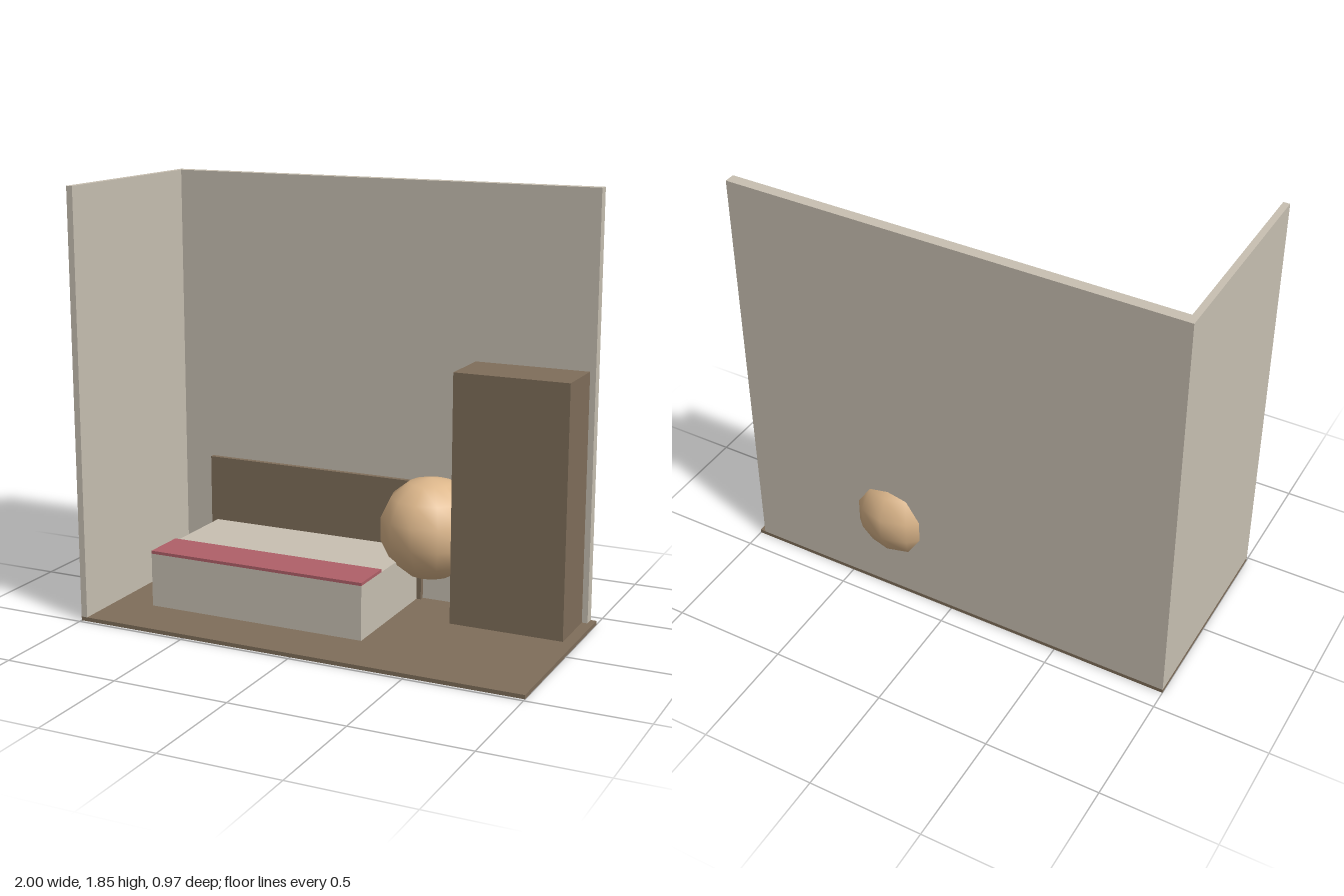
import * as THREE from 'three';

export function createModel() {
  const room = new THREE.Group();
  room.name = 'bedroom';

  const material = (name, color) => {
    const m = new THREE.MeshStandardMaterial({ color });
    m.name = name;
    return m;
  };
  const plaster = material('pale plaster', 0xc8c0b2);
  const wood = material('brown wood', 0x7f6e5a);
  const red = material('dusty red', 0xb06068);
  const tan = material('tan', 0xdeb88c);

  // Box given by its extents along each axis
  const box = (name, mat, [x0, x1], [y0, y1], [z0, z1]) => {
    const mesh = new THREE.Mesh(new THREE.BoxGeometry(x1 - x0, y1 - y0, z1 - z0), mat);
    mesh.position.set((x0 + x1) / 2, (y0 + y1) / 2, (z0 + z1) / 2);
    mesh.name = name;
    room.add(mesh);
  };

  const floorTop = 0.017, back = -0.415, front = 0.484, wallFace = -0.368;

  // Open room shell
  box('floor', wood, [-1, 1], [0, floorTop], [back, front]);
  box('backWall', plaster, [-1, 0.975], [floorTop, 1.85], [back, wallFace]);
  box('sideWall', plaster, [-1, -0.972], [floorTop, 1.85], [wallFace, front]);

  // Bed
  box('headboard', wood, [-0.83, 0.22], [floorTop, 0.55], [wallFace, -0.345]);
  box('mattress', plaster, [-0.8, 0.2], [floorTop, 0.253], [-0.345, 0.232]);
  box('blanket', red, [-0.8, 0.2], [0.253, 0.266], [0.033, 0.232]);

  // Wardrobe
  box('wardrobe', wood, [0.45, 0.95], [floorTop, 1.1], [wallFace, -0.115]);

  // Coarse smooth ball that pokes through the back wall
  const ball = new THREE.Mesh(new THREE.SphereGeometry(0.224, 12, 7), tan);
  ball.position.set(0.298, 0.378, -0.266);
  ball.name = 'ball';
  room.add(ball);

  return room;
}
